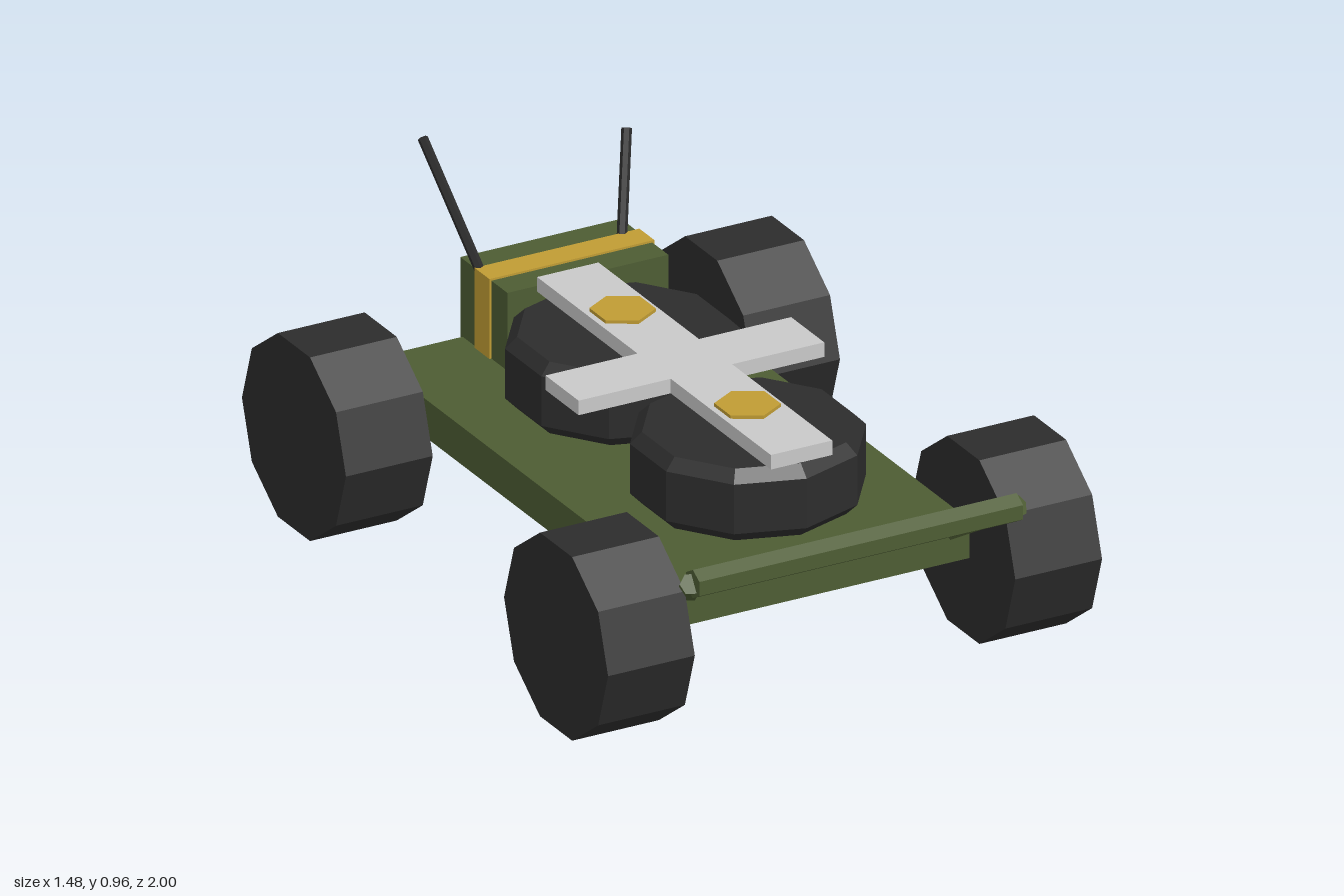
import * as THREE from 'three';

const mat = (name, color) => {
  const m = new THREE.MeshStandardMaterial({ color });
  m.name = name;
  m.flatShading = true;
  return m;
};

export function createModel() {
  const group = new THREE.Group();
  const green = mat('olive green', 0x4d5c33);
  const rubber = mat('dark rubber', 0x2c2c2c);
  const steel = mat('light steel', 0xc8c8c8);
  const gold = mat('gold', 0xc09c34);

  const add = (name, geometry, material, x = 0, y = 0, z = 0) => {
    const mesh = new THREE.Mesh(geometry, material);
    mesh.name = name;
    mesh.position.set(x, y, z);
    group.add(mesh);
    return mesh;
  };
  // box given by its minimum and maximum corners
  const box = (name, material, a, b) => add(name,
    new THREE.BoxGeometry(b[0] - a[0], b[1] - a[1], b[2] - a[2]), material,
    (a[0] + b[0]) / 2, (a[1] + b[1]) / 2, (a[2] + b[2]) / 2);
  // straight bar between two points
  const rod = (name, material, a, b, radius, sides) => {
    const p = new THREE.Vector3(...a), q = new THREE.Vector3(...b);
    const mesh = add(name, new THREE.CylinderGeometry(radius, radius, p.distanceTo(q), sides), material);
    mesh.position.copy(p).add(q).multiplyScalar(0.5);
    mesh.quaternion.setFromUnitVectors(new THREE.Vector3(0, 1, 0), q.sub(p).normalize());
    return mesh;
  };

  box('chassis', green, [-0.44, 0.265, -0.84], [0.44, 0.375, 0.79]);

  // ten-sided wheels and their axles
  for (const [end, z, axleZ] of [['front', 0.685, 0.677], ['rear', -0.721, -0.728]]) {
    rod(end + 'Axle', rubber, [-0.5, 0.265, axleZ], [0.5, 0.265, axleZ], 0.03, 8);
    for (const side of [-1, 1]) {
      const wheel = add(end + (side > 0 ? 'Left' : 'Right') + 'Wheel',
        new THREE.CylinderGeometry(0.279, 0.279, 0.26, 10), rubber, side * 0.61, 0.265, z);
      wheel.rotation.z = Math.PI / 2;
    }
  }

  // bevelled spare tyres lying on the deck, each with a hexagonal bolt
  const tyreProfile = [[0, 0.385], [0.283, 0.385], [0.315, 0.417], [0.315, 0.56], [0.283, 0.592], [0, 0.592]]
    .map(([r, y]) => new THREE.Vector2(r, y));
  for (const z of [0.39, -0.28]) {
    add('spareTyre', new THREE.LatheGeometry(tyreProfile, 10), rubber, 0, 0, z);
    add('tyreBolt', new THREE.CylinderGeometry(0.087, 0.087, 0.055, 6), gold, 0, 0.62, z - 0.003);
  }

  // cross-shaped clamp, drawn with its length along z
  const cross = new THREE.Shape([
    [-0.092, -0.677], [0.092, -0.677], [0.092, -0.14], [0.368, -0.14], [0.368, 0.038], [0.092, 0.038],
    [0.092, 0.577], [-0.092, 0.577], [-0.092, 0.038], [-0.368, 0.038], [-0.368, -0.14], [-0.092, -0.14],
  ].map(([x, y]) => new THREE.Vector2(x, y)));
  const clamp = add('clampCross',
    new THREE.ExtrudeGeometry(cross, { depth: 0.042, bevelEnabled: false }), steel, 0, 0.596, 0);
  clamp.rotation.x = -Math.PI / 2;

  // rear equipment box with strap and aerials
  box('equipmentBox', green, [-0.168, 0.36, -0.853], [0.314, 0.6, -0.6]);
  box('boxStrap', gold, [-0.174, 0.372, -0.766], [0.32, 0.606, -0.686]);
  rod('rightAerial', rubber, [-0.15, 0.57, -0.76], [-0.26, 0.95, -0.89], 0.014, 6);
  rod('leftAerial', rubber, [0.262, 0.57, -0.758], [0.33, 0.86, -0.852], 0.014, 6);

  // front bumper bar on two angled struts
  const bar = add('bumperBar', new THREE.CylinderGeometry(0.041, 0.041, 0.97, 6), green, 0, 0.472, 0.962);
  bar.rotation.set(0, Math.PI / 6, Math.PI / 2, 'ZYX');
  for (const s of [-1, 1]) {
    rod('bumperStrut', green, [s * 0.492, 0.475, 0.965], [s * 0.385, 0.345, 0.76], 0.03, 6);
  }

  return group;
}
